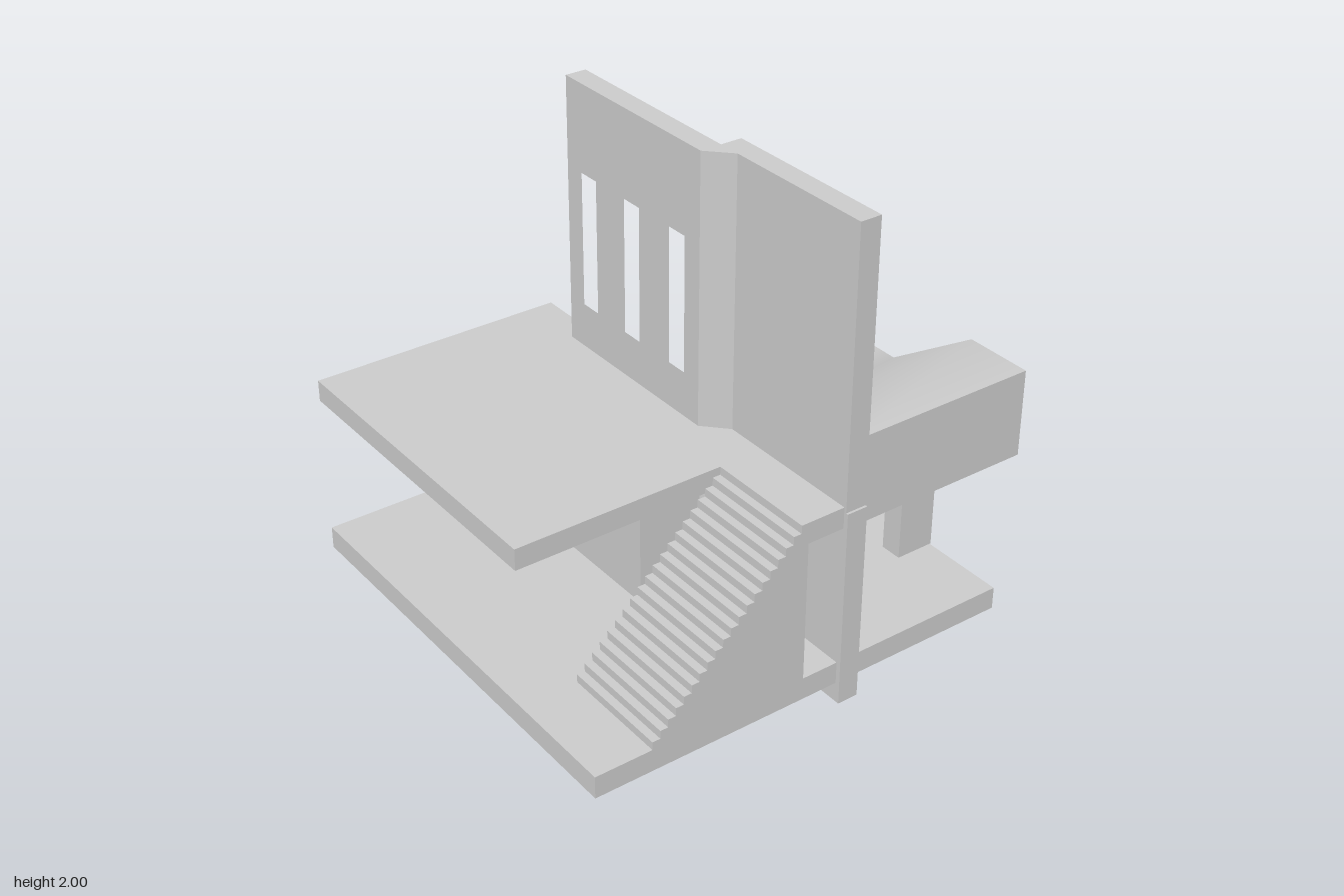
import * as THREE from 'three';
import { toCreasedNormals } from 'three/addons/utils/BufferGeometryUtils.js';

const material = new THREE.MeshStandardMaterial({ color: 0xcccccc });

function toShape(points, Type = THREE.Shape) {
  return new Type(points.map(([a, b]) => new THREE.Vector2(a, b)));
}

function extrude(shape, depth) {
  return new THREE.ExtrudeGeometry(shape, { depth, bevelEnabled: false });
}

// Plan outline given as [x, z], raised from y0 to y1
function fromPlan(points, y0, y1) {
  return extrude(toShape(points.map(([x, z]) => [x, -z])), y1 - y0)
    .rotateX(-Math.PI / 2).translate(0, y0, 0);
}

// Side outline given as [z, y], running from x0 to x1, with optional holes
function fromSide(points, x0, x1, holes = []) {
  const flip = (list) => list.map(([z, y]) => [-z, y]);
  const shape = toShape(flip(points));
  shape.holes = holes.map((h) => toShape(flip(h), THREE.Path));
  return extrude(shape, x1 - x0).rotateY(Math.PI / 2).translate(x0, 0, 0);
}

// Front outline given as [x, y], running from z0 to z1
function fromFront(points, z0, z1) {
  return extrude(toShape(points), z1 - z0).translate(0, 0, z0);
}

const rect = (a0, b0, a1, b1) => [[a0, b0], [a1, b0], [a1, b1], [a0, b1]];

export function createModel() {
  const model = new THREE.Group();
  model.name = 'splitLevelBuilding';
  const add = (name, geometry, parent = model) => {
    const mesh = new THREE.Mesh(geometry, material);
    mesh.name = name;
    parent.add(mesh);
  };

  // Ground slab and upper floor with its landing beside the stairs
  add('baseSlab', fromPlan(rect(-0.965, -0.95, 0.915, 0.93), 0.085, 0.18));
  add('upperFloor', fromPlan([
    [-0.965, -0.95], [0.12, -0.95], [0.12, 0.93],
    [-0.04, 0.93], [-0.04, 0.46], [-0.965, 0.46],
  ], 0.78, 0.87));

  // Lower core with the thin wall running forward, passing through the slab
  add('lowerCore', fromPlan([
    [-0.25, -0.645], [0.12, -0.645], [0.12, 0.2], [0.21, 0.2], [0.21, 0.95],
    [0.12, 0.95], [0.12, 0.29], [0.03, 0.2], [-0.25, 0.2],
  ], 0, 0.85));

  // Tall wall: windowed rear panel and offset front panel
  const wall = new THREE.Group();
  wall.name = 'tallWall';
  model.add(wall);
  const windows = [-0.518, -0.238, 0.047].map((z) => rect(z - 0.048, 1.06, z + 0.048, 1.63));
  add('windowPanel', fromSide(rect(-0.66, 0.85, 0.185, 2), 0.03, 0.12, windows), wall);
  add('frontPanel', fromPlan([
    [0.03, 0.185], [0.12, 0.185], [0.21, 0.185], [0.21, 0.94], [0.12, 0.94], [0.12, 0.28],
  ], 0.85, 2), wall);

  // Solid staircase
  const steps = 20, x0 = -0.72, y0 = 0.18, run = 0.68 / steps, rise = 0.69 / steps;
  const profile = [[x0, y0]];
  for (let i = 0; i < steps; i++) {
    const y = y0 + (i + 1) * rise;
    profile.push([x0 + i * run, y], [x0 + (i + 1) * run, y]);
  }
  profile.push([-0.04, y0]);
  add('stairs', fromFront(profile, 0.46, 0.93));

  // Balcony block with a softly shaded sloping top
  add('balcony', toCreasedNormals(fromSide([
    [0.94, 0.78], [0.94, 1.145], [0.65, 1.145], [0.23, 0.87], [0.095, 0.87], [0.095, 0.78],
  ], 0.12, 0.965), 0.7));

  // Arched support under the balcony
  add('archSupport', fromFront([
    [0.2, 0.18], [0.41, 0.18], [0.41, 0.47], [0.505, 0.56], [0.66, 0.56],
    [0.75, 0.47], [0.75, 0.18], [0.92, 0.18], [0.92, 0.78], [0.2, 0.78],
  ], 0.465, 0.56));

  return model;
}
